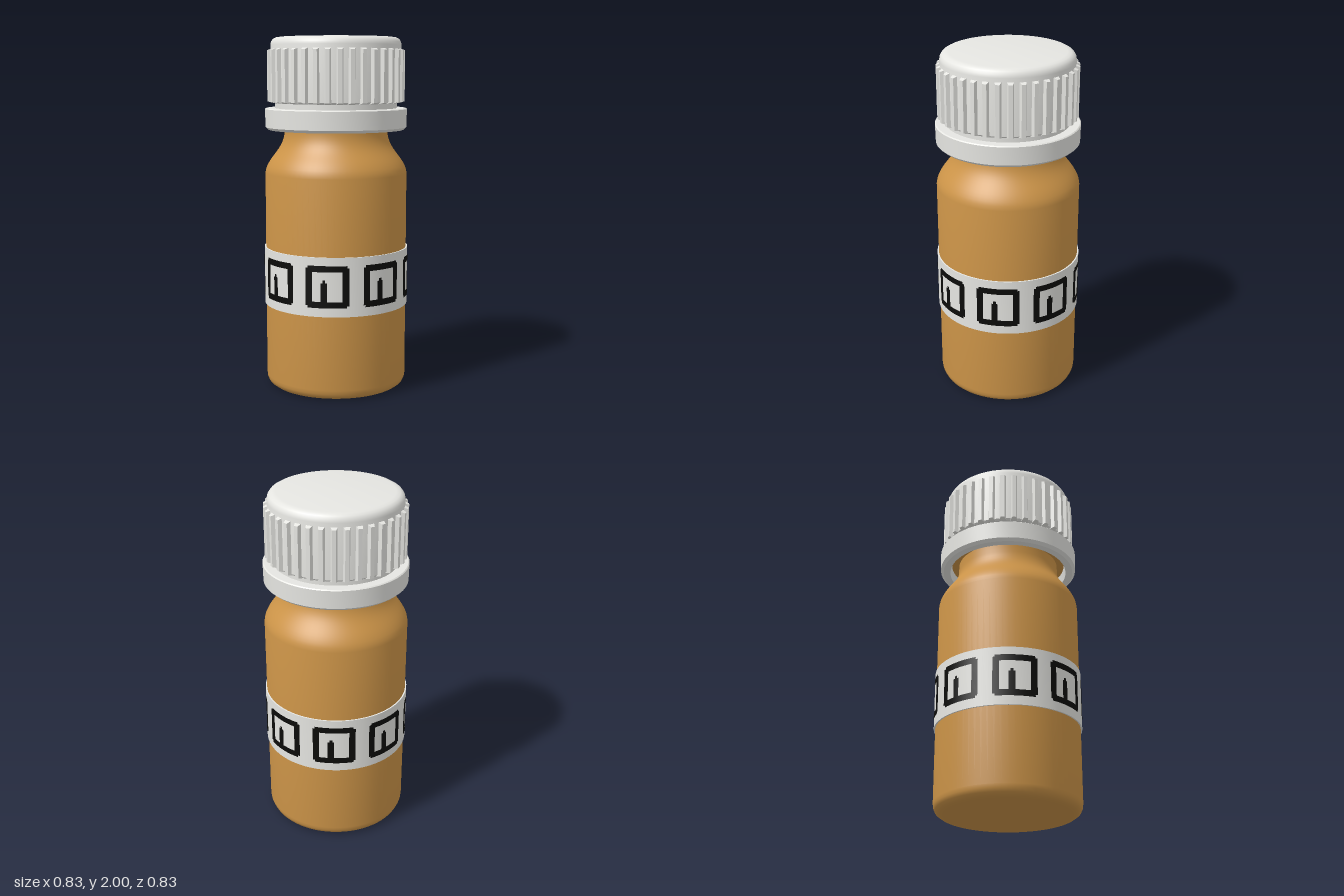
import * as THREE from 'three';
import { toCreasedNormals } from 'three/addons/utils/BufferGeometryUtils.js';

const mat = (name, color) => new THREE.MeshStandardMaterial({ name, color });

export function createModel() {
  const amber = mat('amber', 0xcc9448);
  const white = mat('white plastic', 0xe6e6e2);
  const black = mat('black print', 0x0c0c0a);
  const model = new THREE.Group();
  model.name = 'bottle';

  const add = (name, geometry, material, parent = model) => {
    const mesh = new THREE.Mesh(geometry, material);
    mesh.name = name;
    parent.add(mesh);
    return mesh;
  };
  // Profile points are [radius, height], running up the outside
  const lathe = (pts, crease = 0.6) => toCreasedNormals(
    new THREE.LatheGeometry(pts.map(([r, y]) => new THREE.Vector2(r, y)), 72), crease);

  // Glass body: rounded base, straight wall, curved shoulder, neck and flange
  const shoulder = new THREE.CubicBezierCurve(
    new THREE.Vector2(0.4, 1.26), new THREE.Vector2(0.37, 1.34),
    new THREE.Vector2(0.3, 1.37), new THREE.Vector2(0.293, 1.47)
  ).getPoints(12).map((p) => [p.x, p.y]);
  add('glassBody', lathe([
    [0, 0], [0.35, 0], [0.375, 0.006], [0.394, 0.02], [0.403, 0.04], [0.405, 0.06],
    [0.405, 1.235], ...shoulder, [0.293, 1.52], [0.335, 1.53], [0.335, 1.58], [0.28, 1.6],
  ]), amber);

  // Tamper ring: hollow below, chamfered lower edge
  add('tamperRing', lathe([
    [0.335, 1.56], [0.345, 1.48], [0.385, 1.48], [0.402, 1.495],
    [0.404, 1.597], [0.398, 1.602], [0.34, 1.602],
  ], 0.4), white);
  add('capNeck', lathe([[0.346, 1.59], [0.346, 1.65]]), white);

  // Cap with a rounded top edge
  add('cap', lathe([
    [0, 1.632], [0.36, 1.632], [0.37, 1.642], [0.37, 1.955], [0.367, 1.972],
    [0.357, 1.987], [0.342, 1.996], [0.32, 1.999], [0, 2],
  ]), white);

  // Grip ribs: short tapered bars around the cap
  const ribs = new THREE.Group();
  ribs.name = 'gripRibs';
  model.add(ribs);
  const section = new THREE.Shape([
    [-0.021, 0.36], [0.021, 0.36], [0.011, 0.39], [-0.011, 0.39],
  ].map(([x, y]) => new THREE.Vector2(x, y)));
  const ribGeo = new THREE.ExtrudeGeometry(section, { depth: 0.305, bevelEnabled: false });
  ribGeo.rotateX(Math.PI / 2).translate(0, 1.937, 0);
  // Slope both ends of each rib inwards
  const pos = ribGeo.attributes.position;
  for (let i = 0; i < pos.count; i++) {
    if (pos.getZ(i) > 0.38) pos.setY(i, pos.getY(i) + (pos.getY(i) > 1.8 ? -0.012 : 0.008));
  }
  ribGeo.computeVertexNormals();
  const RIBS = 36;
  for (let i = 0; i < RIBS; i++) {
    add('gripRib', ribGeo, white, ribs).rotation.y = (i / RIBS) * Math.PI * 2;
  }

  // Label band around the body
  add('labelBand', lathe([[0.403, 0.48], [0.413, 0.48], [0.413, 0.81], [0.403, 0.81]]), white);

  // Printed key motif: thin curved patches, repeated eight times
  const R = 0.415;
  const patch = (x0, x1, y0, y1) => new THREE.CylinderGeometry(
    R, R, y1 - y0, 12, 1, true, x0 / R, (x1 - x0) / R).translate(0, (y0 + y1) / 2, 0);
  const strokes = [
    patch(-0.122, -0.085, 0.542, 0.753), // left side
    patch(0.085, 0.122, 0.542, 0.753),   // right side
    patch(-0.11, 0.11, 0.73, 0.765),     // top
    patch(-0.11, 0.11, 0.53, 0.565),     // bottom
    patch(-0.036, 0.0, 0.56, 0.67),      // middle bar
    patch(-0.026, -0.01, 0.67, 0.685),   // bar tip
  ];
  for (let i = 0; i < 8; i++) {
    const motif = new THREE.Group();
    motif.name = 'keyMotif';
    motif.rotation.y = (i * Math.PI) / 4;
    strokes.forEach((g) => add('keyStroke', g, black, motif));
    model.add(motif);
  }
  return model;
}
